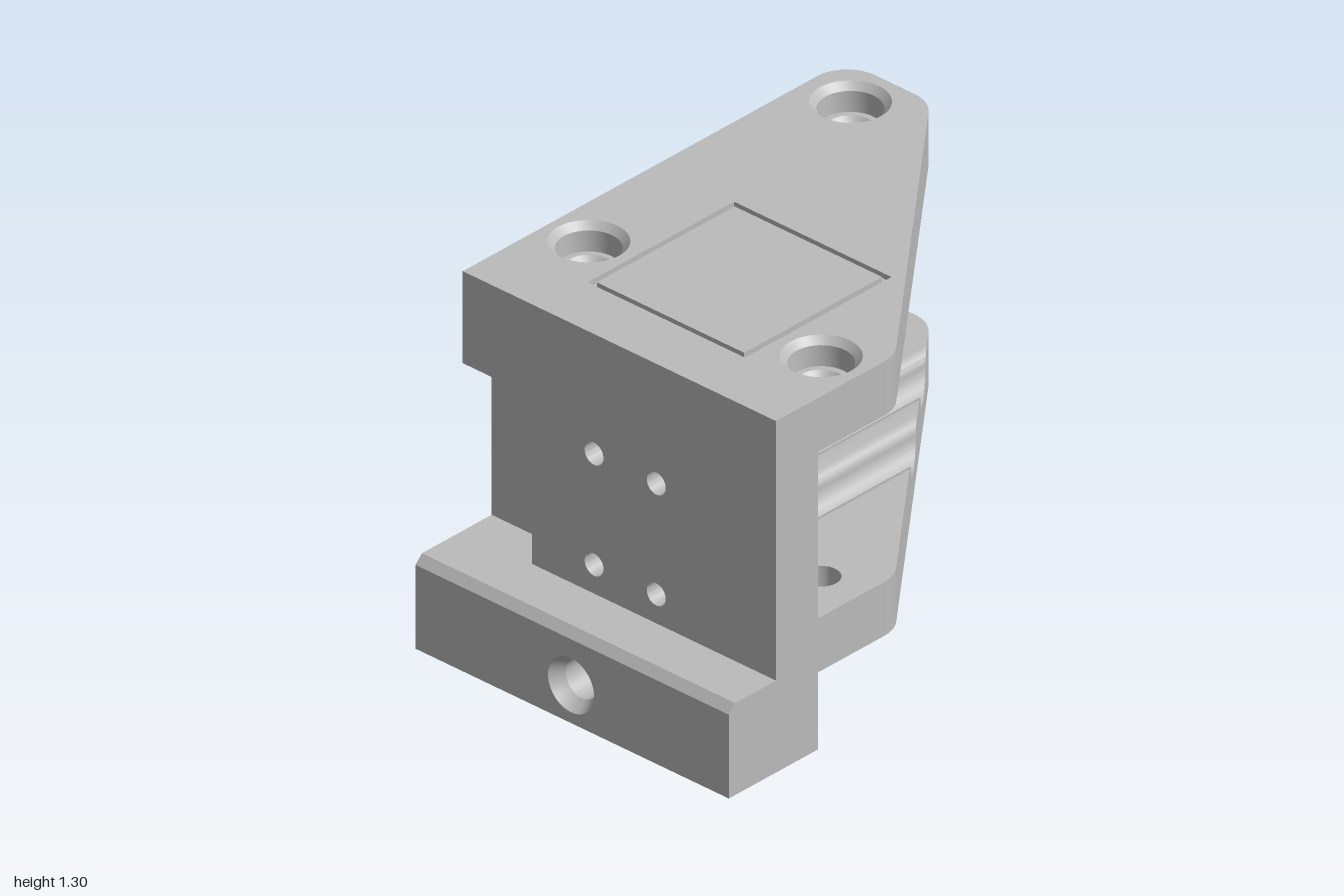
import * as THREE from 'three';
import { toCreasedNormals } from 'three/addons/utils/BufferGeometryUtils.js';

const BOLTS = [[-0.495, -0.827], [-0.514, 0.371], [0.51, 0.387]]; // x, z
const WIRES = [-0.11, 0.16]; // x of the cable channels
const diagonal = (x) => -0.615 + 1.237 * x; // z of the slanted edge

export function createModel() {
  const group = new THREE.Group();
  const grey = new THREE.MeshStandardMaterial({ color: 0xbbbbbb });

  const add = (name, geo) => {
    const mesh = new THREE.Mesh(toCreasedNormals(geo, 0.5), grey);
    mesh.name = name;
    group.add(mesh);
    return mesh;
  };
  const extrude = (shape, depth) =>
    new THREE.ExtrudeGeometry(shape, { depth, bevelEnabled: false, curveSegments: 20 });
  // Plan shapes use (x, -z) and are raised from y0 to y1
  const slab = (name, shape, y0, y1) =>
    add(name, extrude(shape, y1 - y0).rotateX(-Math.PI / 2).translate(0, y0, 0));
  const poly = (pts) => new THREE.Shape(pts.map(([x, y]) => new THREE.Vector2(x, y)));
  const rect = (x0, y0, x1, y1) => poly([[x0, y0], [x1, y0], [x1, y1], [x0, y1]]);
  const circle = (x, y, r) => new THREE.Path().absarc(x, y, r, 0, Math.PI * 2);
  const hexagon = (x, z) => poly([...Array(6).keys()].map((i) => {
    const a = (i * Math.PI) / 3;
    return [x + 0.145 * Math.sin(a), -z - 0.145 * Math.cos(a)];
  }));
  const lathe = (pts, sides) =>
    new THREE.LatheGeometry(pts.map(([r, y]) => new THREE.Vector2(r, y)), sides);

  // Rounded pieces of the triangular outline
  const backCorners = (s) => {
    s.lineTo(-0.267, 0.945);
    s.quadraticCurveTo(-0.311, 1, -0.38, 1);
    s.lineTo(-0.55, 1);
    s.absarc(-0.55, 0.87, 0.13, Math.PI / 2, Math.PI, false);
  };
  const sideCorner = (s) => {
    s.lineTo(0.68, -0.28);
    s.quadraticCurveTo(0.68, -0.226, 0.647, -0.185);
  };

  // Top plate: lower layer, engraved upper layer and the panel inside the frame
  const topOutline = () => {
    const s = new THREE.Shape();
    s.moveTo(-0.68, -0.78);
    s.lineTo(0.68, -0.78);
    sideCorner(s);
    backCorners(s);
    BOLTS.forEach(([x, z]) => s.holes.push(circle(x, -z, 0.132)));
    return s;
  };
  slab('topPlate', topOutline(), 1.1, 1.28);
  const skin = topOutline();
  skin.holes.push(rect(-0.343, -0.56, 0.34, 0.122));
  slab('topPlateSkin', skin, 1.28, 1.3);
  slab('framedPanel', rect(-0.322, -0.54, 0.318, 0.102), 1.28, 1.3);

  // Counterbored bolt holes in the top plate
  BOLTS.forEach(([x, z]) => {
    add('counterbore', lathe([[0.132, 1.3], [0.108, 1.275], [0.104, 1.2], [0.083, 1.2],
      [0.064, 1.18], [0.064, 1.1], [0.132, 1.1]], 40).translate(x, 0, z));
  });

  // Lower plate: two flat sides with hexagonal nut pockets
  const left = new THREE.Shape();
  left.moveTo(-0.68, -0.585);
  left.lineTo(-0.22, -0.585);
  left.lineTo(-0.22, -diagonal(-0.22));
  backCorners(left);
  left.holes.push(hexagon(...BOLTS[0]), hexagon(...BOLTS[1]));
  slab('lowerPlateRight', left, 0.285, 0.485);

  const right = new THREE.Shape();
  right.moveTo(0.27, -0.585);
  right.lineTo(0.68, -0.585);
  sideCorner(right);
  right.lineTo(0.27, -diagonal(0.27));
  right.holes.push(hexagon(...BOLTS[2]));
  slab('lowerPlateLeft', right, 0.285, 0.485);

  BOLTS.forEach(([x, z]) => {
    const web = hexagon(x, z);
    web.holes.push(circle(x, -z, 0.064));
    slab('nutPocketCeiling', web, 0.365, 0.485);
    add('nutPocketWall', lathe([[0.115, 0.365], [0.115, 0.315], [0.145, 0.285]], 6)
      .translate(x, 0, z));
  });

  // Lower plate middle: channel profile whose back end follows the diagonal
  const profile = new THREE.Shape();
  profile.moveTo(-0.22, 0.285);
  profile.lineTo(0.27, 0.285);
  profile.lineTo(0.27, 0.485);
  [...WIRES].reverse().forEach((c) => {
    profile.absarc(c + 0.11, 0.445, 0.04, Math.PI / 2, Math.PI, false);
    profile.absarc(c, 0.445, 0.07, 0, -Math.PI, true);
    profile.absarc(c - 0.11, 0.445, 0.04, 0, Math.PI / 2, false);
  });
  const channels = extrude(profile, 1);
  const pos = channels.attributes.position;
  for (let i = 0; i < pos.count; i++) {
    pos.setZ(i, pos.getZ(i) > 0.5 ? 0.585 : diagonal(pos.getX(i)));
  }
  add('cableChannels', channels);

  // Upright wall with four through holes
  const wall = poly([[-0.68, 1.1], [-0.68, 0.96], [-0.38, 0.96], [-0.38, 0.34],
    [0.68, 0.34], [0.68, 1.1]]);
  WIRES.forEach((x) => [0.447, 0.857].forEach((y) => wall.holes.push(circle(x, y, 0.041))));
  add('uprightWall', extrude(wall, 0.195).translate(0, 0, 0.585));

  // Thin recessed part of the wall with a concave fillet
  const recess = new THREE.Shape();
  recess.moveTo(-0.68, -0.585);
  recess.lineTo(-0.68, -0.645);
  recess.lineTo(-0.5, -0.645);
  recess.absarc(-0.5, -0.765, 0.12, Math.PI / 2, 0, true);
  recess.lineTo(-0.38, -0.585);
  slab('wallRecess', recess, 0.34, 0.96);

  // Base bar: rear block, bored front block and chamfered top strip
  add('baseRear', new THREE.BoxGeometry(1.36, 0.34, 0.195).translate(0, 0.17, 0.6825));
  const front = rect(-0.68, 0, 0.68, 0.31);
  front.holes.push(circle(-0.005, 0.14, 0.1));
  add('baseFront', extrude(front, 0.22).translate(0, 0, 0.78));
  const strip = poly([[-0.78, 0.31], [-1, 0.31], [-0.97, 0.34], [-0.78, 0.34]]);
  add('baseChamfer', extrude(strip, 1.36).rotateY(Math.PI / 2).translate(-0.68, 0, 0));
  add('frontBore', lathe([[0.1, 1], [0.085, 0.97], [0.07, 0.95], [0.07, 0.78]], 40)
    .rotateX(Math.PI / 2).translate(-0.005, 0.14, 0));

  return group;
}
